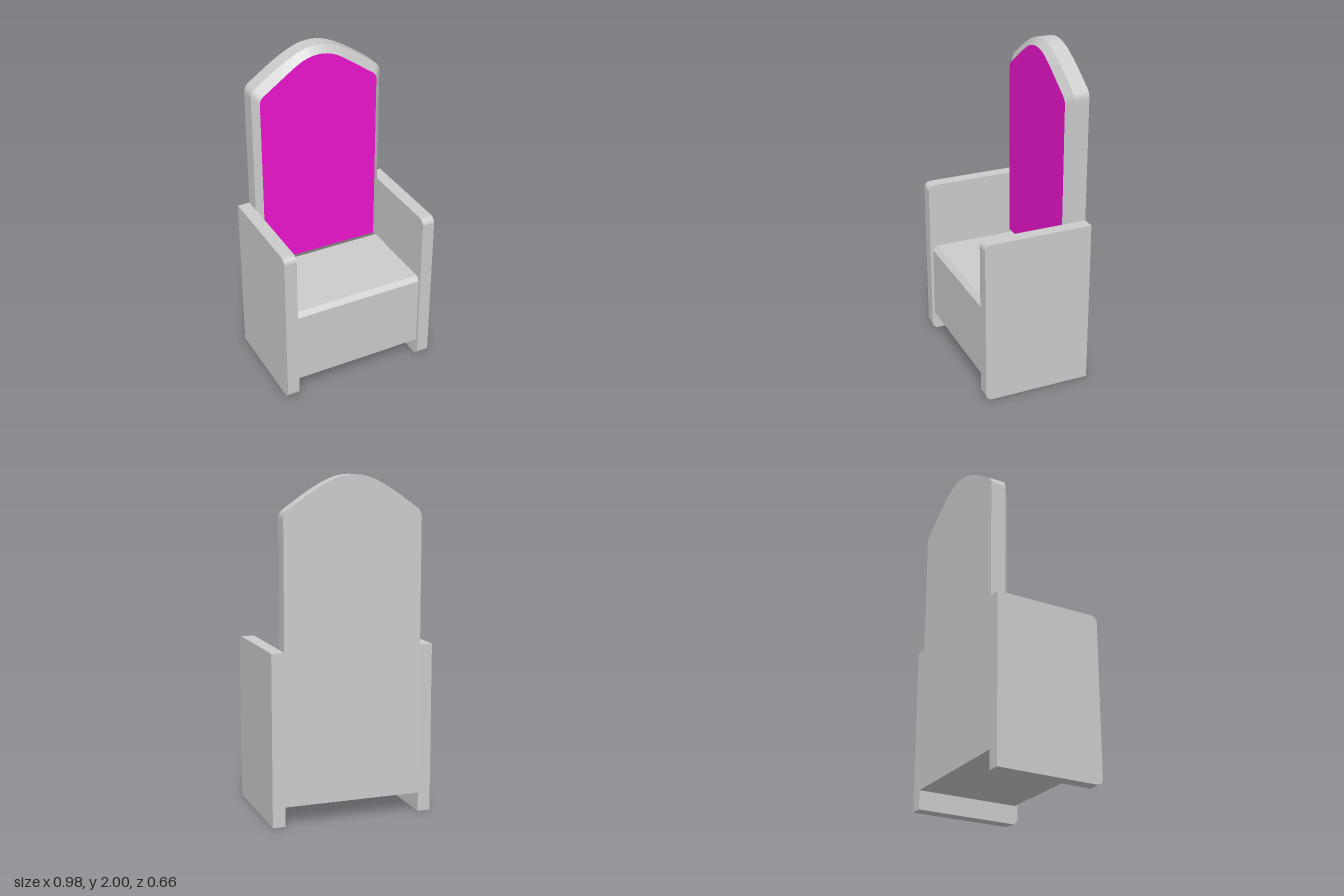
import * as THREE from 'three';

const grey = new THREE.MeshStandardMaterial({ color: 0xcccccc });
const magenta = new THREE.MeshStandardMaterial({ color: 0xed15cd });

const HALF = 0.415, BACK = -0.33, SEAT = 0.595, UNDERSIDE = 0.115;

// Right half of the arched crown, from the shoulder up to the peak
function crown(shoulder, arch) {
  const v = ([x, y]) => new THREE.Vector2(x, y);
  const corner = new THREE.QuadraticBezierCurve(...shoulder.map(v)).getPoints(4);
  const curve = new THREE.SplineCurve([corner[4], ...arch.map(v)]).getPoints(14);
  return [...corner, ...curve.slice(1)];
}

// Closed counter-clockwise outline of the backrest
function outline(half, bottom) {
  const left = half.slice(0, -1).reverse().map((p) => new THREE.Vector2(-p.x, p.y));
  const w = half[0].x;
  return [new THREE.Vector2(-w, bottom), new THREE.Vector2(w, bottom), ...half, ...left];
}

// Sloped ring joining two outlines with the same number of points
function ring(a, za, b, zb) {
  const pos = [];
  a.forEach((p, i) => {
    const j = (i + 1) % a.length;
    const p0 = [p.x, p.y, za], p1 = [a[j].x, a[j].y, za];
    const q0 = [b[i].x, b[i].y, zb], q1 = [b[j].x, b[j].y, zb];
    pos.push(...p0, ...p1, ...q1, ...p0, ...q1, ...q0);
  });
  const g = new THREE.BufferGeometry();
  g.setAttribute('position', new THREE.Float32BufferAttribute(pos, 3));
  g.computeVertexNormals();
  return g;
}

// Extrude a (z, y) profile along x, centred on x
function extrudeAcross(shape, width, x) {
  const g = new THREE.ExtrudeGeometry(shape, { depth: width, bevelEnabled: false, curveSegments: 6 });
  g.translate(0, 0, -width / 2);
  g.rotateY(-Math.PI / 2);
  g.translate(x, 0, 0);
  return g;
}

export function createModel() {
  const chair = new THREE.Group();
  chair.name = 'highBackArmchair';
  const add = (name, geometry, material = grey) => {
    const mesh = new THREE.Mesh(geometry, material);
    mesh.name = name;
    chair.add(mesh);
  };

  // Side panels with rounded front corners
  const top = 1.015, front = 0.33, r = 0.04;
  const side = new THREE.Shape();
  side.moveTo(BACK, 0);
  side.lineTo(front - r, 0);
  side.absarc(front - r, r, r, -Math.PI / 2, 0);
  side.absarc(front - r, top - r, r, 0, Math.PI / 2);
  side.lineTo(BACK, top);
  for (const s of [1, -1]) {
    add(s > 0 ? 'leftSidePanel' : 'rightSidePanel', extrudeAcross(side, 0.077, s * 0.4525));
  }

  // Seat box with a chamfered front edge
  const seat = new THREE.Shape([
    [-0.235, UNDERSIDE], [0.312, UNDERSIDE], [0.312, 0.567], [0.285, SEAT], [-0.235, SEAT],
  ].map(([z, y]) => new THREE.Vector2(z, y)));
  add('seat', extrudeAcross(seat, HALF * 2, 0));

  // Backrest slab reaching down to the underside
  const outer = crown([[HALF, 1.755], [HALF, 1.79], [0.383, 1.812]],
    [[0.25, 1.904], [0.14, 1.966], [0.06, 1.994], [0, 2]]);
  const inner = crown([[0.376, 1.725], [0.376, 1.75], [0.352, 1.768]],
    [[0.22, 1.86], [0.125, 1.923], [0.055, 1.951], [0, 1.957]]);
  const slab = new THREE.ExtrudeGeometry(new THREE.Shape(outline(outer, UNDERSIDE)),
    { depth: 0.095, bevelEnabled: false });
  slab.translate(0, 0, BACK);
  add('backrest', slab);

  // Bevelled frame and the coloured panel inside it
  const innerLoop = outline(inner, 0.64);
  add('backrestBevel', ring(outline(outer, SEAT), -0.235, innerLoop, -0.2));
  const panel = new THREE.ShapeGeometry(new THREE.Shape(innerLoop));
  panel.translate(0, 0, -0.2);
  add('backrestPanel', panel, magenta);

  return chair;
}
